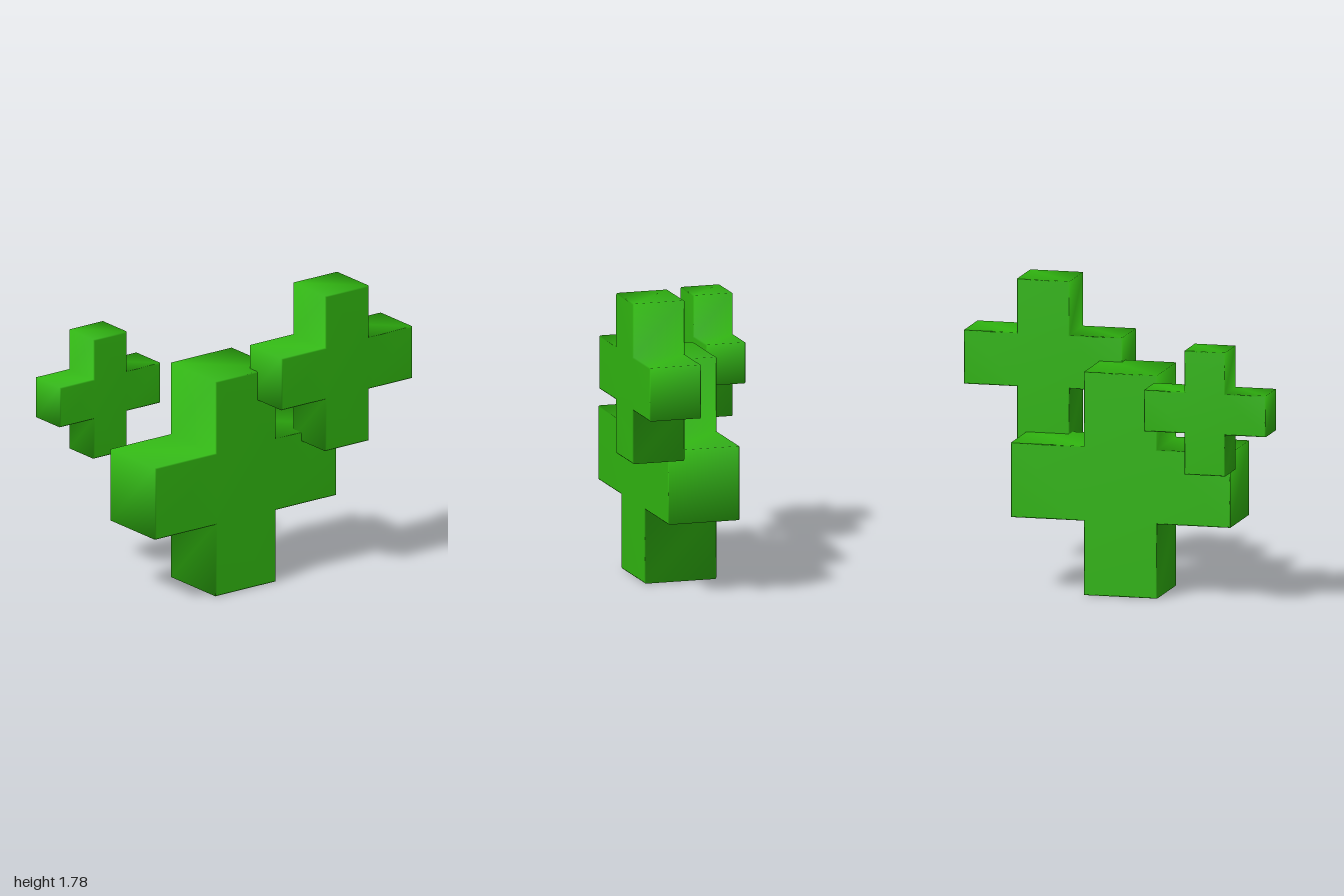
import * as THREE from 'three';
import { mergeVertices } from 'three/addons/utils/BufferGeometryUtils.js';

const BEVEL = 0.007;

// Plus-shaped block: three equal cells across, one cell deep, with a fine bevel
function crossGeometry(size) {
  const h = size / 2, a = size / 6;
  const outline = [
    [-a, -h], [a, -h], [a, -a], [h, -a], [h, a], [a, a],
    [a, h], [-a, h], [-a, a], [-h, a], [-h, -a], [-a, -a],
  ].map(([x, y]) => new THREE.Vector2(x, y));
  const depth = size / 3 - 2 * BEVEL;
  const geometry = new THREE.ExtrudeGeometry(new THREE.Shape(outline), {
    depth,
    bevelEnabled: true,
    bevelThickness: BEVEL,
    bevelSize: BEVEL,
    bevelOffset: -BEVEL,
    bevelSegments: 1,
  });
  geometry.translate(0, 0, -depth / 2);
  // Share vertices so that the shading rolls softly over the bevels
  geometry.deleteAttribute('uv');
  geometry.deleteAttribute('normal');
  const smooth = mergeVertices(geometry, 1e-4);
  smooth.computeVertexNormals();
  return smooth;
}

export function createModel() {
  const group = new THREE.Group();
  group.name = 'crosses';
  const green = new THREE.MeshStandardMaterial({ color: 0x30b410 });
  green.name = 'green';

  const crosses = [
    { name: 'largeCross', size: 1.32, position: [-0.04, 0.663, 0.045] },
    { name: 'mediumCross', size: 0.953, position: [0.52, 1.308, 0.341] },
    { name: 'smallCross', size: 0.732, position: [-0.634, 1.175, -0.378] },
  ];
  for (const { name, size, position } of crosses) {
    const mesh = new THREE.Mesh(crossGeometry(size), green);
    mesh.name = name;
    mesh.position.set(...position);
    group.add(mesh);
  }
  return group;
}
